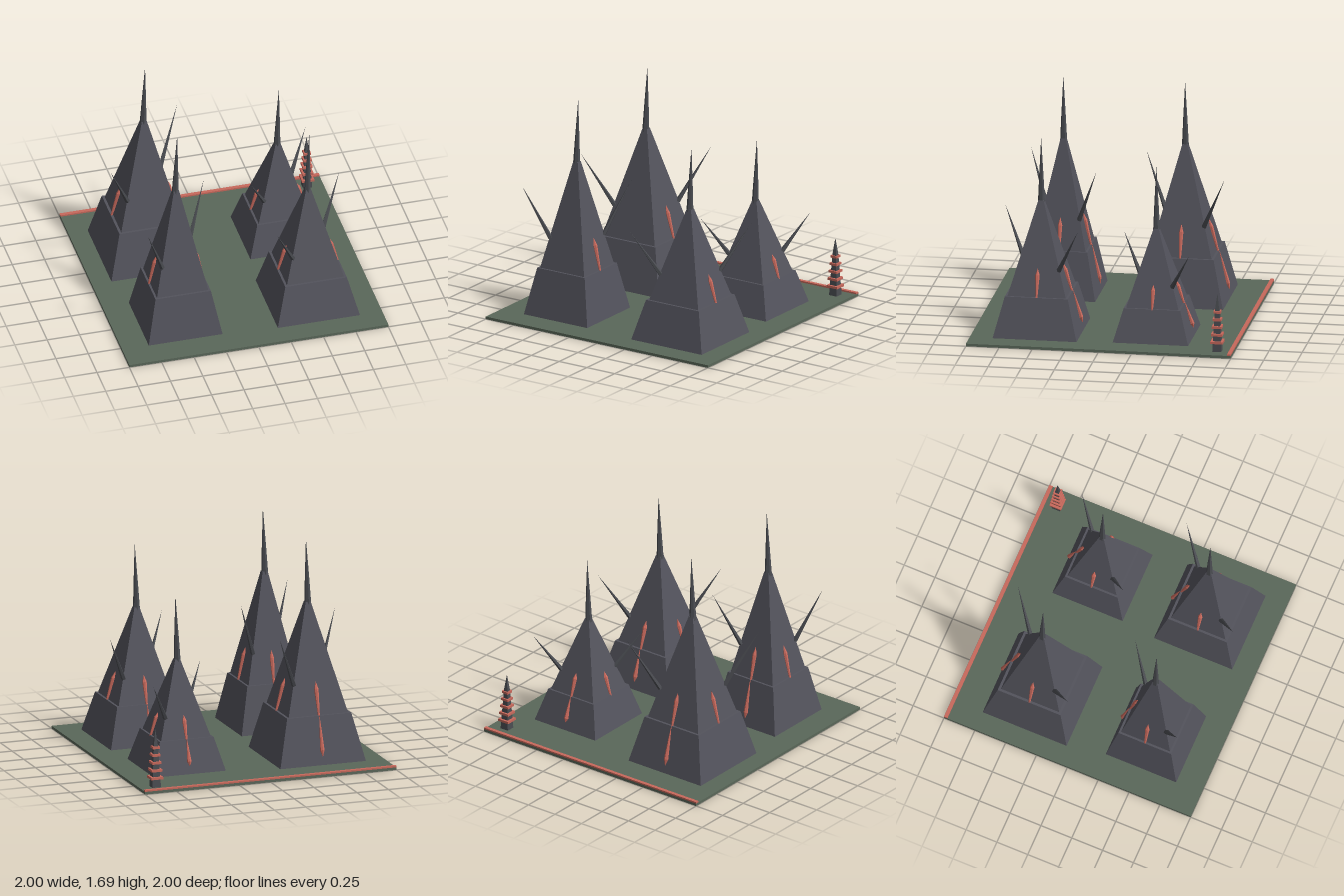
import * as THREE from 'three';

const paint = (name, color) => {
  const m = new THREE.MeshStandardMaterial({ color, flatShading: true });
  m.name = name;
  return m;
};

export function createModel() {
  const model = new THREE.Group();
  const moss = paint('moss green', 0x5a6759);
  const stone = paint('slate stone', 0x53535c);
  const thorn = paint('dark thorn', 0x4a4c51);
  const coral = paint('coral red', 0xc8695c);
  const GROUND = 0.02;

  const add = (parent, name, geometry, material, x = 0, y = 0, z = 0) => {
    const mesh = new THREE.Mesh(geometry, material);
    mesh.name = name;
    mesh.position.set(x, y, z);
    parent.add(mesh);
    return mesh;
  };

  // Square frustum standing on y = 0, given by half widths
  const frustum = (bottom, top, height) =>
    new THREE.CylinderGeometry(top * Math.SQRT2, bottom * Math.SQRT2, height, 4)
      .rotateY(Math.PI / 4)
      .translate(0, height / 2, 0);

  // Lathed part running from one point to another; profile is [radius, fraction]
  const between = (parent, name, material, from, to, profile, sides) => {
    const a = new THREE.Vector3(...from);
    const dir = new THREE.Vector3(...to).sub(a);
    const length = dir.length();
    const points = profile.map(([r, t]) => new THREE.Vector2(r, t * length));
    const mesh = add(parent, name, new THREE.LatheGeometry(points, sides), material, ...from);
    mesh.quaternion.setFromUnitVectors(new THREE.Vector3(0, 1, 0), dir.normalize());
    return mesh;
  };
  const spikeShape = (r) => [[0, 0], [r, 0], [r * 0.5, 0.5], [0, 1]];
  const crystalShape = [[0, 0], [0.017, 0.16], [0.008, 0.65], [0, 1]];

  // Ground slab with a raised strip along the back edge
  add(model, 'ground', new THREE.BoxGeometry(2, GROUND, 2), moss, 0, GROUND / 2, 0);
  add(model, 'backStrip', new THREE.BoxGeometry(2, 0.012, 0.028), coral, 0, GROUND + 0.006, -0.986);

  // Stepped pyramid tower: w is half the base width, h the height to the apex
  const tower = (name, x, z, w, h) => {
    const g = new THREE.Group();
    g.name = name;
    g.position.set(x, GROUND, z);
    model.add(g);
    const ledge = h * 0.305;
    add(g, 'lowerTier', frustum(w, w * 0.75, ledge), stone);
    add(g, 'upperTier', frustum(w * 0.695, 0.02, h - ledge), stone, 0, ledge, 0);
    between(g, 'spire', thorn, [-0.004, h - 0.03, 0], [0.011, h + 0.49, 0],
      [[0, 0], [0.027, 0], [0.017, 0.4], [0, 1]], 6);

    // Thorns on two opposite corners
    for (const s of [1, -1]) {
      between(g, 'cornerThorn', thorn,
        [s * w * 0.5, h * 0.5, -s * w * 0.5],
        [s * w * 1.035, h * 0.858, -s * w * 1.035], spikeShape(0.019), 5);
    }

    // Crystals lying on both sides and the back, heavier at the top
    for (const [dx, dz] of [[1, 0], [-1, 0], [0, -1]]) {
      const top = w * 0.52, low = w * 0.83;
      between(g, 'crystal', coral,
        [dx * top, h * 0.515, dz * top],
        [dx * low, h * 0.2, dz * low], crystalShape, 6);
    }
    // Second back crystal near the ground, heavier at the bottom
    between(g, 'lowerCrystal', coral,
      [0, 0.06, -w * 0.985], [0, h * 0.32, -w * 0.745], crystalShape, 6);
  };
  tower('backRightTower', -0.51, -0.41, 0.34, 1.18);
  tower('backLeftTower', 0.51, -0.36, 0.285, 0.82);
  tower('frontRightTower', -0.51, 0.51, 0.285, 1.18);
  tower('frontLeftTower', 0.51, 0.51, 0.317, 1.0);

  // Small beacon in the back corner with shrinking square rings
  const beacon = new THREE.Group();
  beacon.name = 'beacon';
  beacon.position.set(0.875, GROUND, -0.88);
  model.add(beacon);
  add(beacon, 'beaconShaft', frustum(0.034, 0.016, 0.32), thorn);
  add(beacon, 'beaconTip', frustum(0.016, 0.001, 0.12), thorn, 0, 0.32, 0);
  for (let i = 0; i < 5; i++) {
    const size = 2 * (0.047 - i * 0.005);
    add(beacon, 'beaconRing', new THREE.BoxGeometry(size, 0.018, size), coral, 0, 0.072 + i * 0.058, 0);
  }
  return model;
}
